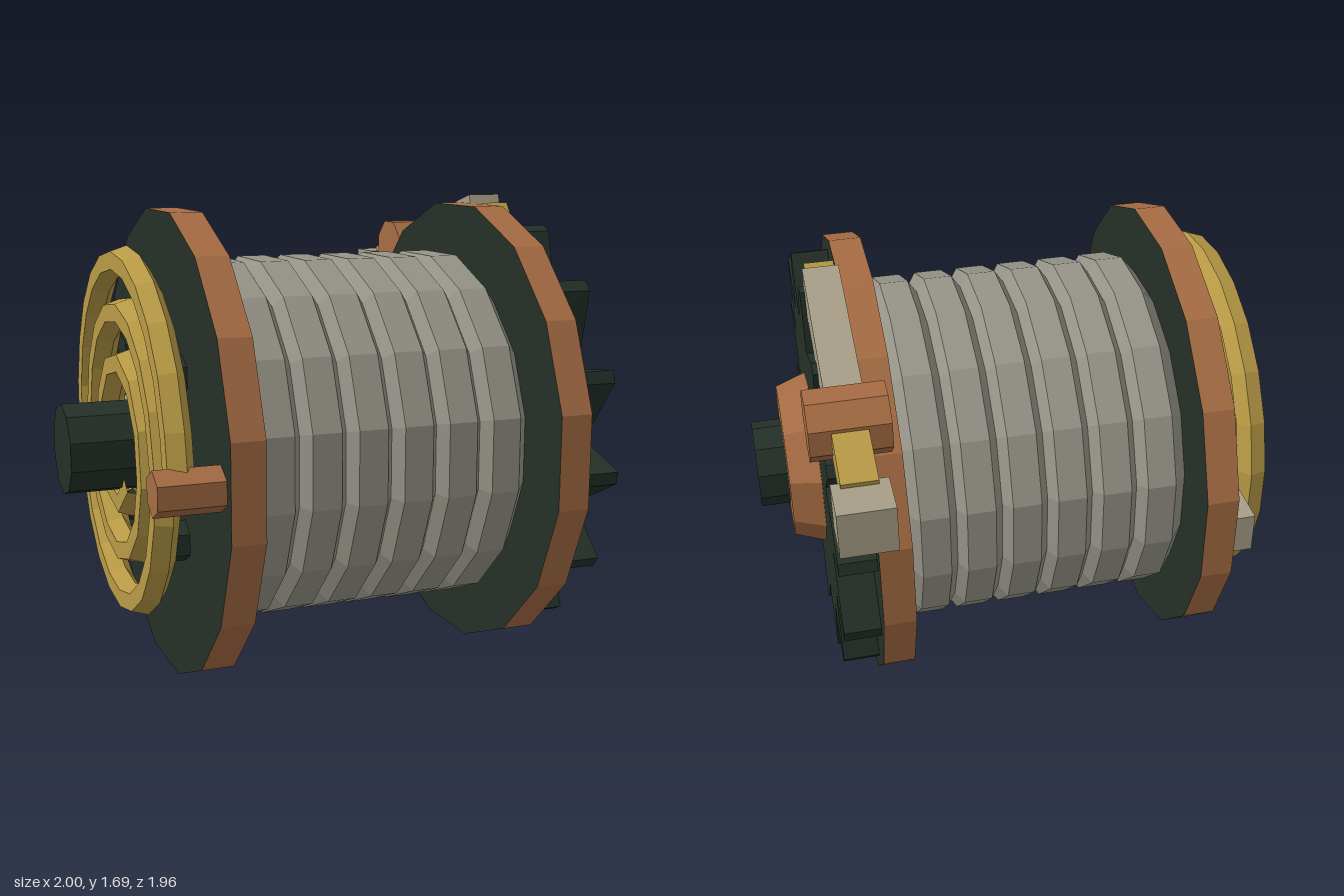
import * as THREE from 'three';

const mat = (name, color) => Object.assign(new THREE.MeshStandardMaterial({ color }), { name });

export function createModel() {
  const copper = mat('copper', 0xa66c43);
  const dark = mat('dark green', 0x243028);
  const grey = mat('drum grey', 0x969488);
  const gold = mat('brass', 0xb89a45);
  const bone = mat('pale steel', 0xa69e86);

  const model = new THREE.Group();
  model.name = 'ratchetWinch';
  const AY = 0.83, AZ = 0.155; // main axle position

  // faceted mesh helper
  function add(name, geo, material, x = 0, y = AY, z = AZ) {
    const g = geo.index ? geo.toNonIndexed() : geo;
    g.computeVertexNormals();
    const mesh = new THREE.Mesh(g, material);
    mesh.name = name;
    mesh.position.set(x, y, z);
    model.add(mesh);
    return mesh;
  }
  // n-sided rod along x, from x0 (radius r0) to x1 (radius r1)
  function rod(name, x0, x1, r0, r1, n, material, y, z) {
    const g = new THREE.CylinderGeometry(r1, r0, x1 - x0, n);
    g.rotateY(Math.PI / n).rotateZ(-Math.PI / 2);
    return add(name, g, material, (x0 + x1) / 2, y, z);
  }
  function box(name, x0, x1, y0, y1, z0, z1, material) {
    return add(name, new THREE.BoxGeometry(x1 - x0, y1 - y0, z1 - z0), material,
      (x0 + x1) / 2, (y0 + y1) / 2, (z0 + z1) / 2);
  }
  // rectangular bar between two points of the z/y plane
  function beam(name, x0, x1, [z0, y0], [z1, y1], thick, material) {
    const dz = z1 - z0, dy = y1 - y0;
    const m = add(name, new THREE.BoxGeometry(x1 - x0, thick, Math.hypot(dz, dy)), material,
      (x0 + x1) / 2, (y0 + y1) / 2, (z0 + z1) / 2);
    m.rotation.x = -Math.atan2(dy, dz);
    return m;
  }

  // axle, flanges with dark faces, hub
  rod('axle', -1, 1, 0.163, 0.163, 10, dark);
  for (const s of [-1, 1]) {
    rod('flange', s * 0.58 - 0.058, s * 0.58 + 0.058, 0.846, 0.846, 16, [copper, dark, dark]);
  }
  rod('hub', 0.775, 0.89, 0.328, 0.287, 10, copper);

  // grooved drum
  const profile = [new THREE.Vector2(0.59, -0.525)];
  for (let i = 0; i < 6; i++) {
    const c = (i - 2.5) * 0.166;
    profile.push(new THREE.Vector2(0.663, c - 0.052), new THREE.Vector2(0.663, c + 0.052));
    if (i < 5) profile.push(new THREE.Vector2(0.618, c + 0.083));
  }
  profile.push(new THREE.Vector2(0.59, 0.525));
  const drum = new THREE.LatheGeometry(profile, 16);
  drum.rotateY(Math.PI / 16).rotateZ(-Math.PI / 2);
  add('drum', drum, grey);

  // ratchet wheel with 14 raked teeth
  const shape = new THREE.Shape();
  for (let i = 0; i < 14; i++) {
    for (const [deg, r] of [[-5.5, 0.57], [0, 0.795], [3.3, 0.79]]) {
      const a = THREE.MathUtils.degToRad(4 + deg + (i * 360) / 14);
      const u = r * Math.cos(a), v = r * Math.sin(a);
      if (i === 0 && deg < 0) shape.moveTo(u, v);
      else shape.lineTo(u, v);
    }
  }
  shape.closePath();
  const wheel = new THREE.ExtrudeGeometry(shape, { depth: 0.135, bevelEnabled: false });
  wheel.rotateY(Math.PI / 2);
  add('ratchetWheel', wheel, dark, 0.64);

  // pawl assembly
  beam('pawlArm', 0.63, 0.757, [-0.54, 1.448], [0.086, 1.617], 0.157, bone);
  beam('pawlTip', 0.64, 0.745, [0.255, 1.465], [0.123, 1.64], 0.082, gold);
  rod('pawlPivot', 0.56, 0.828, 0.119, 0.119, 8, copper, 1.448, -0.54);
  beam('pawlTail', 0.635, 0.755, [-0.83, 1.36], [-0.54, 1.44], 0.14, gold);
  box('counterweight', 0.6, 0.785, 1.245, 1.41, -0.975, -0.815, bone);

  // spiral spring and its anchor peg
  const points = [];
  const steps = 46, turns = 2.9;
  for (let i = 0; i <= steps; i++) {
    const t = (i / steps) * turns, r = 0.705 - 0.178 * t, a = t * Math.PI * 2;
    points.push(new THREE.Vector3(0, r * Math.sin(a), r * Math.cos(a)));
  }
  const spiral = new THREE.CatmullRomCurve3(points);
  add('spiralSpring', new THREE.TubeGeometry(spiral, steps, 0.053, 5), gold, -0.768);
  rod('springPeg', -0.86, -0.63, 0.077, 0.077, 6, copper, 0.828, 0.878);

  // flange bolts and key blocks
  for (const sy of [-1, 1]) for (const sz of [-1, 1]) {
    rod('flangeBolt', -0.71, -0.63, 0.073, 0.073, 6, dark, AY + sy * 0.29, AZ + sz * 0.29);
  }
  box('keyBlock', -0.71, -0.63, 0.755, 0.905, -0.665, -0.205, bone);
  box('keyBlock', 0.63, 0.69, 0.755, 0.905, 0.305, 0.765, bone);

  return model;
}
